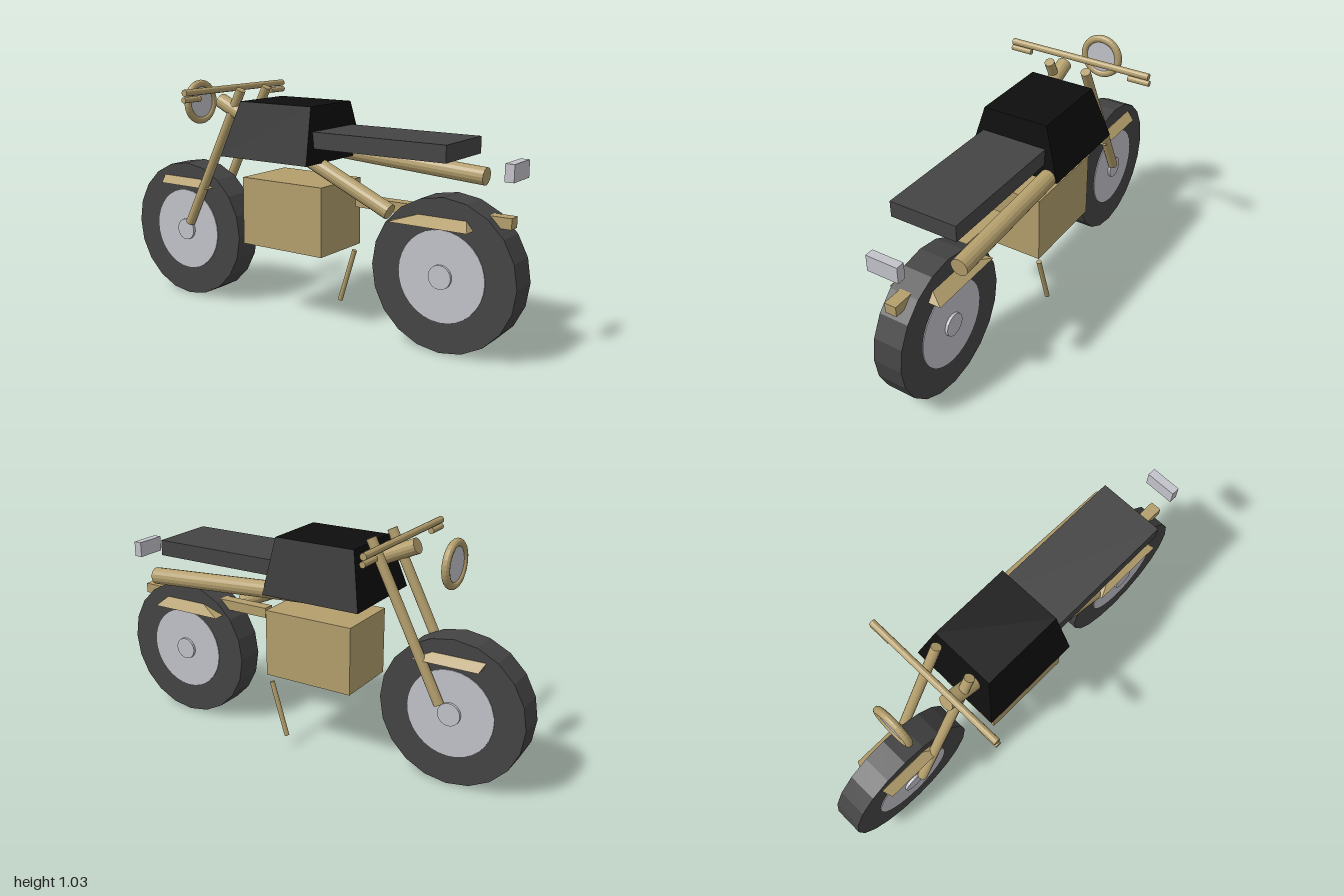
import * as THREE from 'three';

const mat = (name, color) => {
  const m = new THREE.MeshStandardMaterial({ color });
  m.name = name;
  return m;
};

export function createModel() {
  const group = new THREE.Group();
  const black = mat('tank black', 0x0e0e0e);
  const rubber = mat('dark grey', 0x444444);
  const silver = mat('silver', 0xc2c2ca);
  const bronze = mat('bronze', 0xb39e6c);

  const add = (name, geo, material, x = 0, y = 0, z = 0) => {
    const flat = geo.index ? geo.toNonIndexed() : geo;
    flat.computeVertexNormals(); // faceted look
    const m = new THREE.Mesh(flat, material);
    m.name = name;
    m.position.set(x, y, z);
    group.add(m);
    return m;
  };

  // Box given by its minimum and maximum corners
  const box = (name, material, [x0, y0, z0], [x1, y1, z1]) =>
    add(name, new THREE.BoxGeometry(x1 - x0, y1 - y0, z1 - z0), material,
      (x0 + x1) / 2, (y0 + y1) / 2, (z0 + z1) / 2);

  // Straight round bar between two points
  const bar = (name, material, from, to, radius, sides = 16) => {
    const a = new THREE.Vector3(...from);
    const b = new THREE.Vector3(...to);
    const dir = b.clone().sub(a);
    const m = add(name, new THREE.CylinderGeometry(radius, radius, dir.length(), sides), material);
    m.position.copy(a).add(b).multiplyScalar(0.5);
    m.quaternion.setFromUnitVectors(new THREE.Vector3(0, 1, 0), dir.normalize());
    return m;
  };

  // Tapered block: half width and z range at the bottom and at the top
  const taper = (name, material, y0, y1, bottom, top) => {
    const geo = new THREE.BoxGeometry(2, 2, 2);
    const p = geo.attributes.position;
    for (let i = 0; i < p.count; i++) {
      const up = p.getY(i) > 0;
      const [w, zMin, zMax] = up ? top : bottom;
      p.setXYZ(i, p.getX(i) * w, up ? y1 : y0, p.getZ(i) > 0 ? zMax : zMin);
    }
    return add(name, geo, material);
  };

  // Wheels: tyre, disc and axle cap
  for (const [name, z] of [['rear', 0.68], ['front', -0.68]]) {
    const across = (part, material, radius, half, sides) =>
      bar(name + part, material, [-half, 0.32, z], [half, 0.32, z], radius, sides);
    across('Tyre', rubber, 0.32, 0.065, 20);
    across('WheelDisc', silver, 0.19, 0.069, 32);
    across('Axle', silver, 0.05, 0.081, 20);
  }

  // Body
  box('engine', bronze, [-0.15, 0.33, -0.26], [0.15, 0.63, 0.16]);
  taper('fuelTank', black, 0.725, 0.962, [0.216, -0.33, 0.13], [0.148, -0.27, 0.105]);
  box('seat', rubber, [-0.15, 0.79, 0], [0.15, 0.86, 0.73]);
  box('tailLight', silver, [-0.07, 0.73, 0.932], [0.07, 0.8, 0.97]);
  box('rearRack', bronze, [-0.026, 0.54, 0.25], [0.026, 0.585, 0.95]);

  // Mudguards
  taper('rearMudguard', bronze, 0.524, 0.559, [0.12, 0.46, 0.812], [0.067, 0.57, 0.783]);
  taper('frontMudguard', bronze, 0.537, 0.57, [0.106, -0.805, -0.516], [0.067, -0.82, -0.59]);

  // Tubes
  bar('exhaust', bronze, [0.17, 0.695, 0.75], [0.17, 0.747, -0.045], 0.038);
  bar('frameTube', bronze, [-0.083, 0.555, 0.45], [-0.083, 0.95, -0.437], 0.034);
  bar('kickstand', bronze, [0.139, 0.297, 0.14], [0.139, 0.052, 0.065], 0.011, 12);

  // Fork legs and grips, mirrored
  for (const s of [-1, 1]) {
    bar('forkLeg', bronze, [s * 0.09, 1.005, -0.315], [s * 0.09, 0.36, -0.64], 0.022);
    bar('grip', bronze, [s * 0.245, 0.973, -0.418], [s * 0.345, 0.973, -0.418], 0.013, 12);
  }
  bar('handlebar', bronze, [-0.34, 1.003, -0.418], [0.34, 1.003, -0.418], 0.015, 12);

  // Headlight
  add('headlightRing', new THREE.TorusGeometry(0.086, 0.017, 12, 32), bronze, 0, 0.925, -0.638);
  bar('headlightLens', silver, [0, 0.925, -0.646], [0, 0.925, -0.63], 0.082, 32);

  return group;
}
